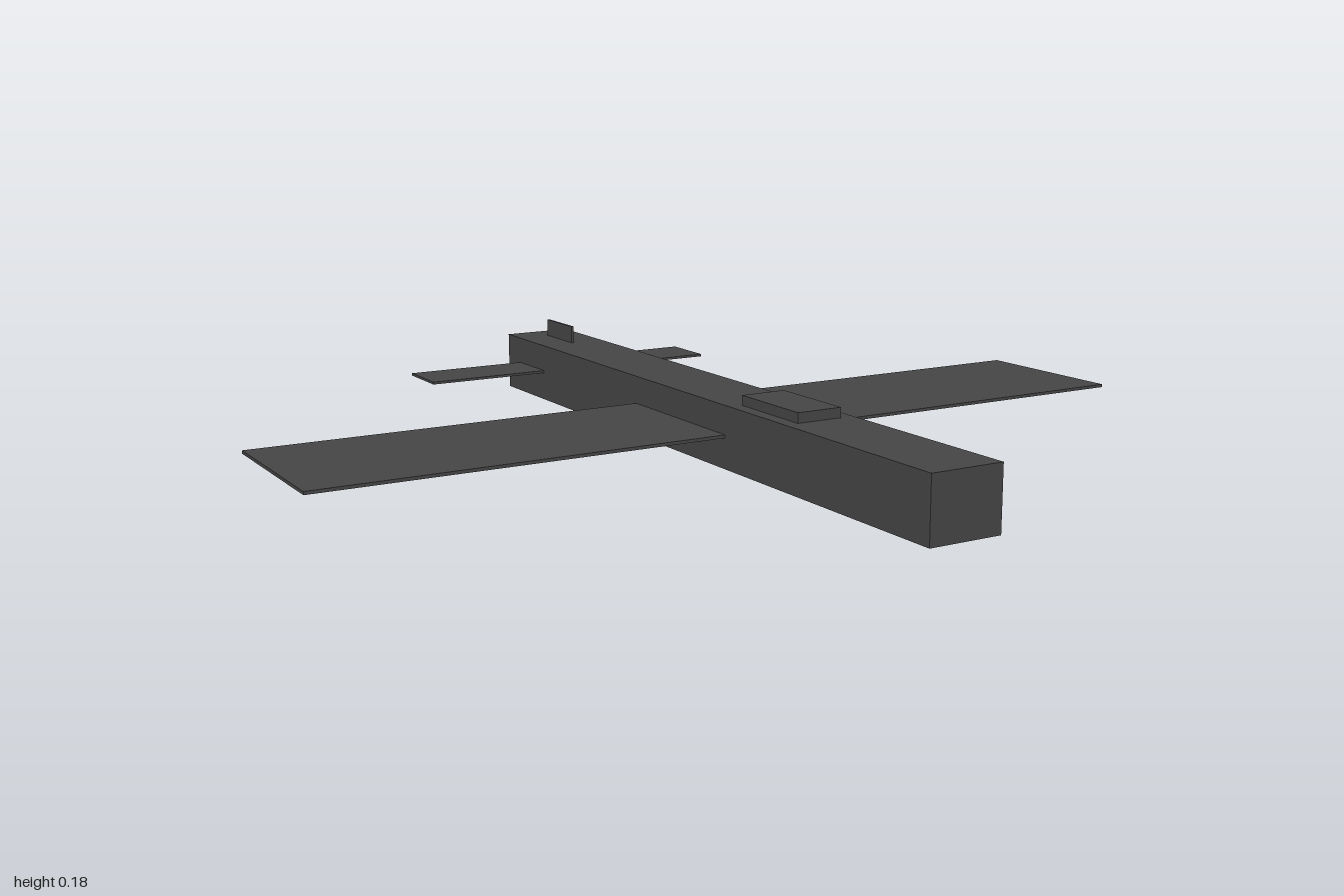
import * as THREE from 'three';

export function createModel() {
  const model = new THREE.Group();
  model.name = 'airplane';
  const dark = new THREE.MeshStandardMaterial({ color: 0x444444 });

  // Adds a box given its size and centre
  function addBox(name, [w, h, d], [x, y, z]) {
    const mesh = new THREE.Mesh(new THREE.BoxGeometry(w, h, d), dark);
    mesh.name = name;
    mesh.position.set(x, y, z);
    model.add(mesh);
  }

  // Long square body
  addBox('fuselage', [0.167, 0.139, 1.78], [0, 0.0695, 0]);
  // Thin wing and tailplane running through the body
  addBox('wing', [2, 0.007, 0.39], [0, 0.0715, 0]);
  addBox('tailplane', [0.768, 0.006, 0.14], [0, 0.0715, -0.751]);
  // Fin and canopy standing on the body
  addBox('tailFin', [0.006, 0.045, 0.14], [0, 0.1585, -0.751]);
  addBox('canopy', [0.106, 0.025, 0.21], [0, 0.1485, 0.319]);

  return model;
}
